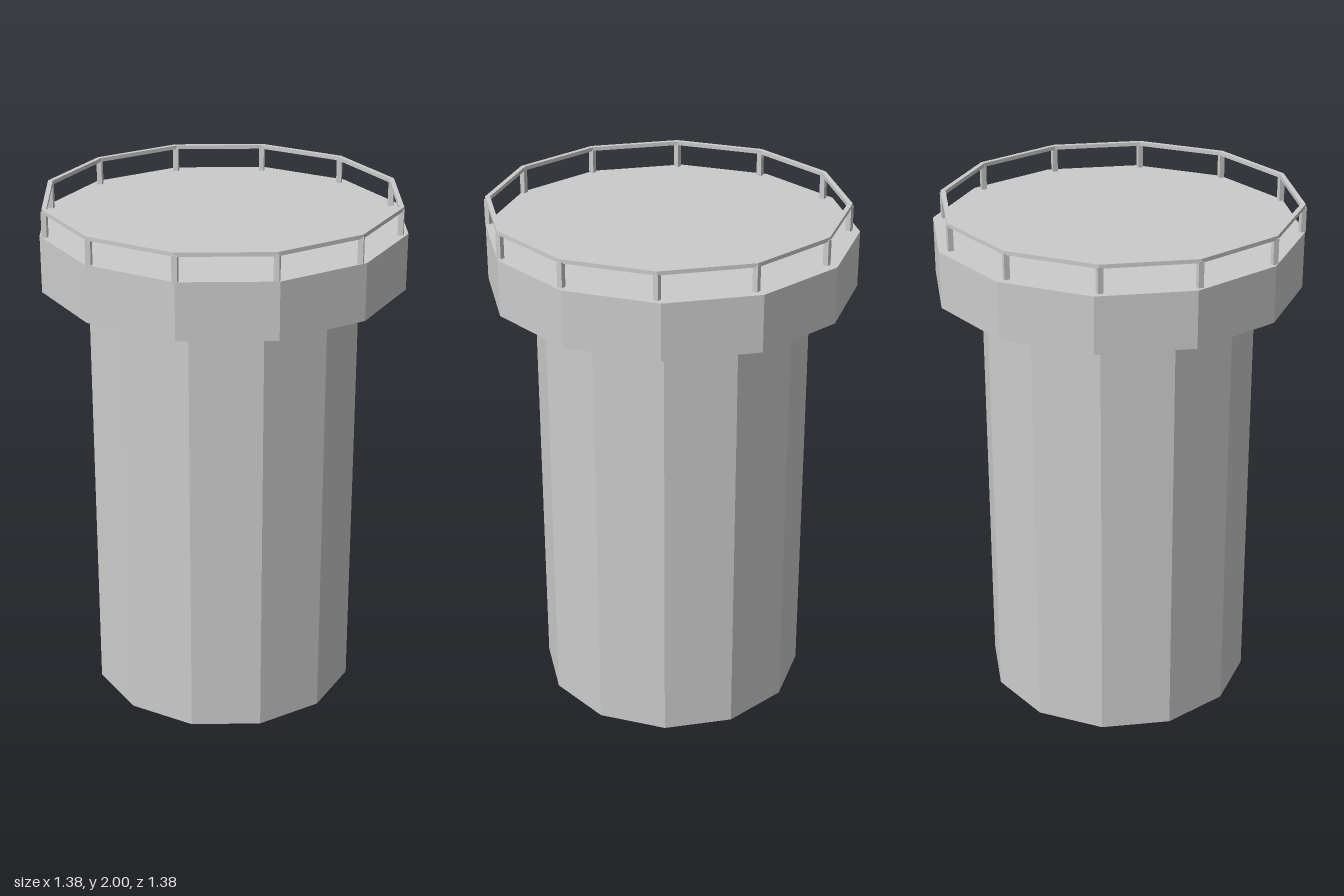
import * as THREE from 'three';

const SIDES = 12;
const DECK_Y = 1.895;
const RAIL_R = 0.664;

export function createModel() {
  const tower = new THREE.Group();
  tower.name = 'tower';
  const grey = new THREE.MeshStandardMaterial({ color: 0xcccccc, flatShading: true });

  const add = (parent, name, geometry, x = 0, y = 0, z = 0) => {
    const mesh = new THREE.Mesh(geometry, grey);
    mesh.name = name;
    mesh.position.set(x, y, z);
    parent.add(mesh);
  };
  const drum = (radius, bottom, top) =>
    new THREE.CylinderGeometry(radius, radius, top - bottom, SIDES).translate(0, (bottom + top) / 2, 0);

  // Twelve-sided shaft and the wider platform on top
  add(tower, 'column', drum(0.516, 0, 1.68));
  add(tower, 'platform', drum(0.69, 1.68, DECK_Y));

  // Railing, set slightly toward the front
  const railing = new THREE.Group();
  railing.name = 'railing';
  railing.position.z = 0.017;
  tower.add(railing);

  // Handrail: a rectangular section swept around the twelve sides
  const inner = RAIL_R - 0.009, outer = RAIL_R + 0.009;
  const section = [[inner, 1.985], [outer, 1.985], [outer, 2], [inner, 2], [inner, 1.985]];
  add(railing, 'handrail', new THREE.LatheGeometry(section.map(([r, y]) => new THREE.Vector2(r, y)), SIDES));

  // One square post at each corner
  const height = 1.99 - DECK_Y;
  const post = new THREE.BoxGeometry(0.02, height, 0.02);
  for (let i = 0; i < SIDES; i++) {
    const a = (i / SIDES) * Math.PI * 2;
    add(railing, 'railingPost', post, Math.sin(a) * RAIL_R, DECK_Y + height / 2, Math.cos(a) * RAIL_R);
  }

  return tower;
}
